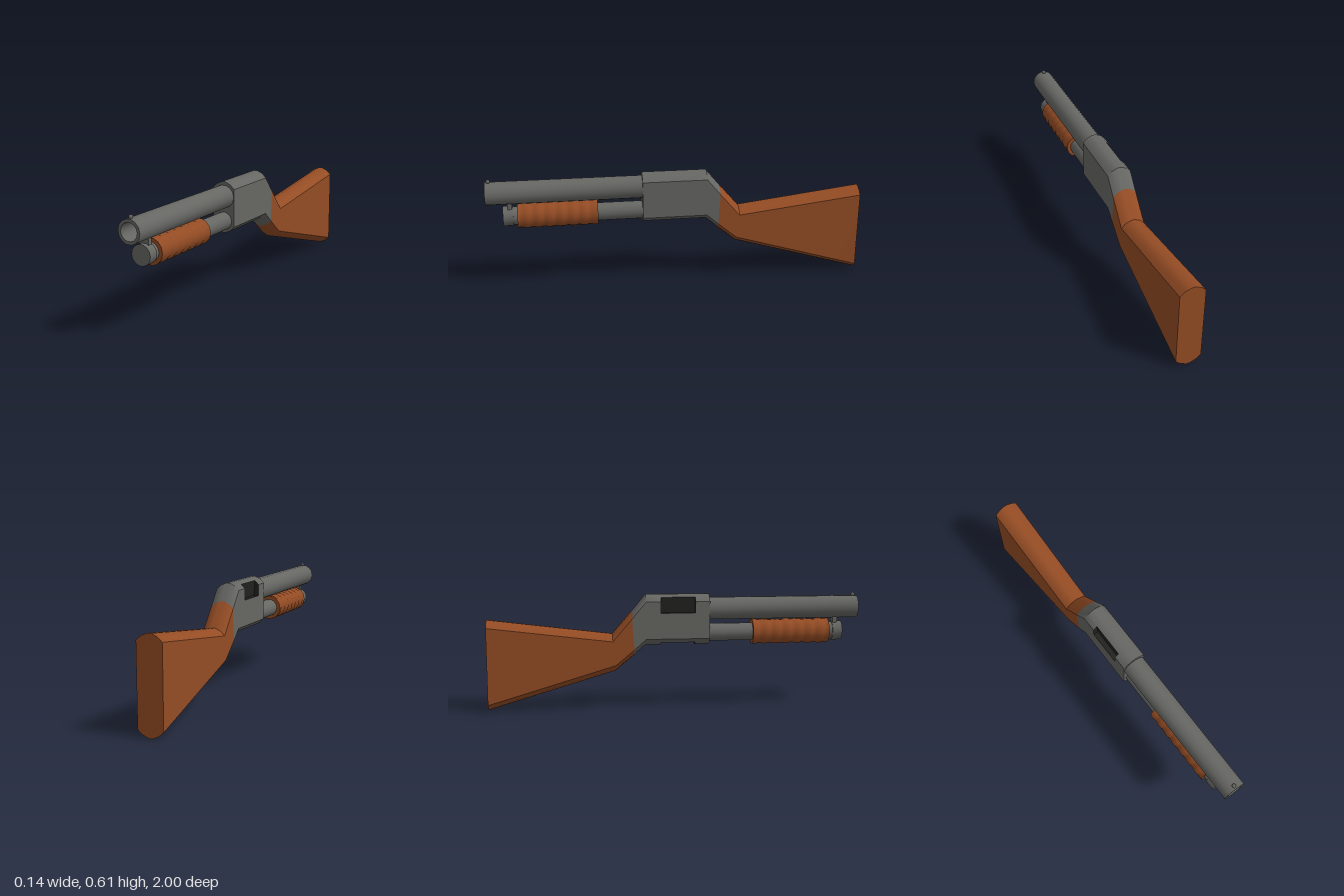
import * as THREE from 'three';
import { toCreasedNormals } from 'three/addons/utils/BufferGeometryUtils.js';

const paint = (color, side = THREE.FrontSide) => new THREE.MeshStandardMaterial({ color, side });
const metal = paint(0x666663);
const wood = paint(0x944c24);
const dark = paint(0x22221f, THREE.DoubleSide);
const CREASE = 0.7;
const SIDES = 14;

// Closed cross-sections joined front to back; skip(section, edge) leaves an opening
function loft(sections, skip = () => false) {
  const n = sections[0].length, last = sections.length - 1;
  const pos = sections.flat(2), index = [];
  for (let s = 0; s < last; s++) {
    for (let i = 0; i < n; i++) {
      if (skip(s, i)) continue;
      const j = (i + 1) % n;
      const a = s * n + i, b = s * n + j, c = b + n, d = a + n;
      index.push(a, d, c, a, c, b);
    }
  }
  for (const s of [0, last]) {
    const mid = pos.length / 3;
    for (let k = 0; k < 3; k++) pos.push(sections[s].reduce((t, p) => t + p[k], 0) / n);
    for (let i = 0; i < n; i++) {
      const a = s * n + i, b = s * n + (i + 1) % n;
      index.push(mid, ...(s === 0 ? [a, b] : [b, a]));
    }
  }
  const geo = new THREE.BufferGeometry();
  geo.setAttribute('position', new THREE.Float32BufferAttribute(pos, 3));
  geo.setIndex(index);
  return toCreasedNormals(geo, CREASE);
}

// Flat-sided section with rounded top and bottom; zt and zb allow a slanted cut
function section(zt, zb, t, b, w) {
  return [
    [0.01, b, zb], [0.042, b + 0.014, zb], [w, b + 0.036, zb],
    [w, t - 0.036, zt], [0.042, t - 0.014, zt], [0.01, t, zt],
    [-0.01, t, zt], [-0.042, t - 0.014, zt], [-w, t - 0.036, zt],
    [-w, t - 0.097, zt], [-w, b + 0.036, zb], [-0.042, b + 0.014, zb], [-0.01, b, zb],
  ];
}

// Turned part along z, from [radius, z] pairs
function turned(points, y) {
  const geo = new THREE.LatheGeometry(points.map(([r, z]) => new THREE.Vector2(r, z)), SIDES, Math.PI / SIDES);
  geo.rotateX(Math.PI / 2).translate(0, y, 0);
  geo.deleteAttribute('uv');
  geo.deleteAttribute('normal');
  return toCreasedNormals(geo, CREASE);
}

export function createModel() {
  const group = new THREE.Group();
  const add = (name, geo, mat) => {
    const mesh = new THREE.Mesh(geo, mat);
    mesh.name = name;
    group.add(mesh);
    return mesh;
  };

  // Receiver with side and bottom openings between z = 0.105 and -0.08
  const T = 0.61, B = 0.338, W = 0.063, portFront = 0.105, portBack = -0.08;
  const body = [0.183, portFront, portBack, -0.16].map((z) => section(z, z, T, B, W));
  const joint = section(-0.232, -0.222, 0.523, 0.283, W);
  add('receiver', loft([...body, joint], (s, i) => s === 1 && [7, 8, 11, 12, 0].includes(i)), metal);

  // Recesses behind the openings
  const pocket = (name, points, open) => add(name, loft(
    [portFront, portBack].map((z) => points.map(([x, y]) => [x, y, z])),
    (s, i) => open.includes(i)), dark);
  pocket('ejectionPort',
    [[-W, T - 0.097], [-0.036, T - 0.097], [-0.042, T - 0.014], [-W, T - 0.036]], [2, 3]);
  pocket('loadingPort',
    [[0.01, B], [0.042, B + 0.014], [0.042, B + 0.04], [-0.042, B + 0.04], [-0.042, B + 0.014], [-0.01, B]],
    [0, 4, 5]);

  // Stock: sloping wrist, then widening to the butt
  add('stock', loft([
    joint,
    section(-0.338, -0.322, 0.4, 0.2, W),
    section(-1, -1, 0.483, 0, 0.067),
  ]), wood);

  // Barrel with open bore
  add('barrel', turned([[0.061, 0.15], [0.061, 1], [0.045, 1], [0.045, 0.5]], 0.531), metal);
  add('boreEnd', new THREE.CircleGeometry(0.046, SIDES).translate(0, 0.531, 0.5), dark);
  const bead = add('beadSight', new THREE.SphereGeometry(0.011, 10, 6), metal);
  bead.position.set(0, 0.597, 0.982);

  // Magazine tube with end cap, hung from the barrel by a lug
  add('magazineTube', turned([
    [0.048, 0.15], [0.048, 0.862], [0.053, 0.862], [0.053, 0.915], [0, 0.915],
  ], 0.401), metal);
  const lug = add('barrelLug', new THREE.BoxGeometry(0.052, 0.05, 0.024), metal);
  lug.position.set(0, 0.462, 0.878);

  // Sliding grip with shallow ridges
  const grip = [[0.047, 0.42], [0.068, 0.42]];
  const ridges = 7, pitch = 0.42 / ridges;
  for (let i = 0; i < ridges; i++) {
    const z = 0.42 + i * pitch;
    grip.push([0.068, z + pitch * 0.4], [0.0645, z + pitch * 0.55], [0.0645, z + pitch * 0.8], [0.068, z + pitch]);
  }
  grip.push([0.047, 0.84]);
  add('slideGrip', turned(grip, 0.401), wood);

  return group;
}
